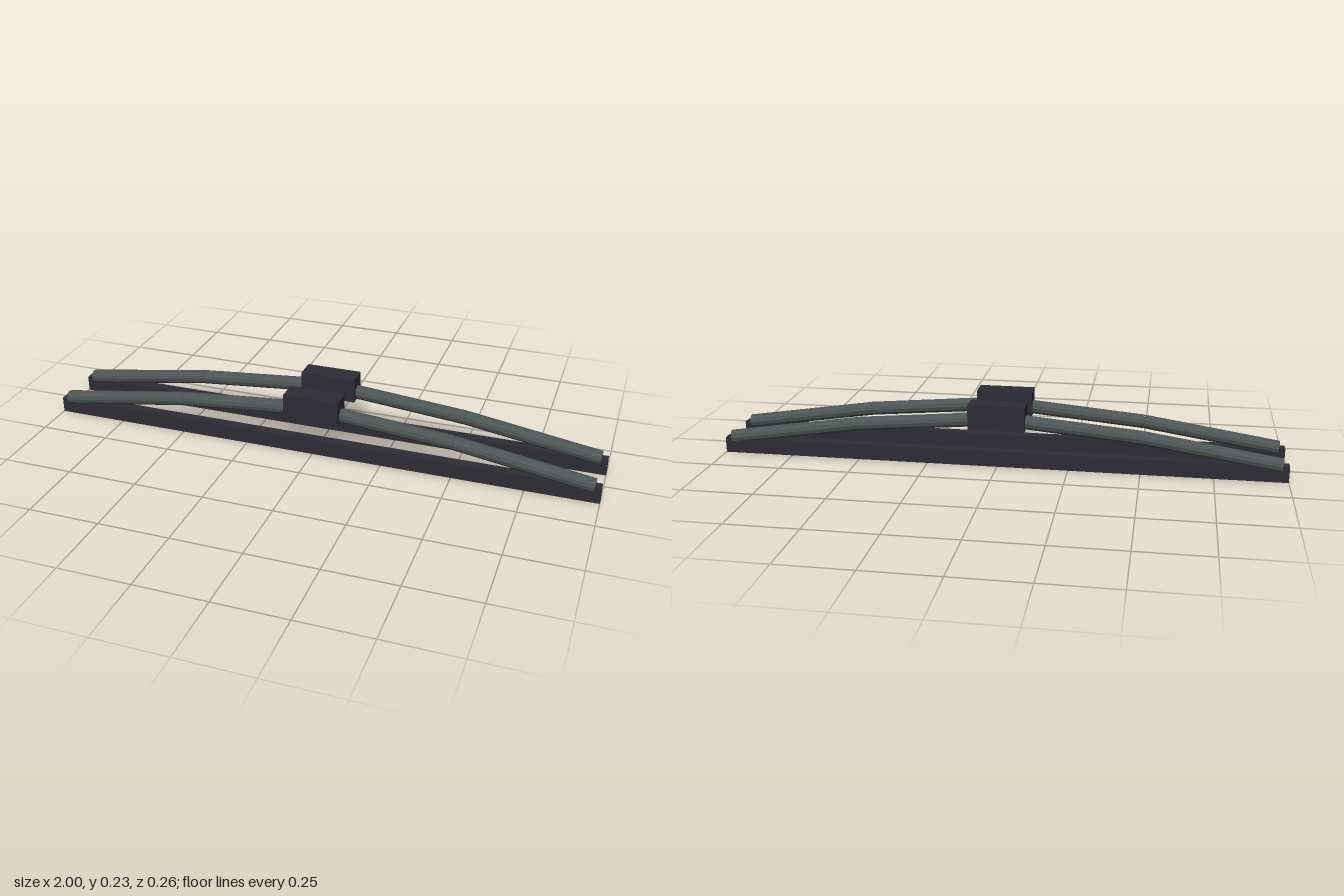
import * as THREE from 'three';

export function createModel() {
  const model = new THREE.Group();
  const rubber = new THREE.MeshStandardMaterial({ color: 0x2d2c35 });
  rubber.name = 'dark rubber';
  const metal = new THREE.MeshStandardMaterial({ color: 0x4b5553, flatShading: true });
  metal.name = 'grey green metal';

  const add = (parent, name, geometry, material, x, y) => {
    const mesh = new THREE.Mesh(geometry, material);
    mesh.name = name;
    mesh.position.set(x, y, 0);
    parent.add(mesh);
    return mesh;
  };

  // Straight round rod between two points of the arched arm
  const addRod = (parent, name, a, b) => {
    const dir = b.clone().sub(a);
    const mid = a.clone().add(b).multiplyScalar(0.5);
    const rod = add(parent, name, new THREE.CylinderGeometry(0.025, 0.025, dir.length(), 12), metal, mid.x, mid.y);
    rod.quaternion.setFromUnitVectors(new THREE.Vector3(0, 1, 0), dir.normalize());
  };

  for (const side of [1, -1]) {
    const wiper = new THREE.Group();
    wiper.name = side > 0 ? 'frontWiper' : 'backWiper';
    wiper.position.z = 0.0945 * side;

    // Straight blade and central clip
    add(wiper, 'blade', new THREE.BoxGeometry(2, 0.056, 0.038), rubber, 0, 0.028);
    add(wiper, 'clip', new THREE.BoxGeometry(0.2, 0.088, 0.075), rubber, 0, 0.182);

    // Arched arm, two rods to each side of the clip
    for (const s of [1, -1]) {
      const centre = new THREE.Vector3(0, 0.172, 0);
      const bend = new THREE.Vector3(0.5 * s, 0.128, 0);
      const tip = new THREE.Vector3(0.977 * s, 0.055, 0);
      const label = s > 0 ? 'left' : 'right';
      addRod(wiper, label + 'InnerRod', centre, bend);
      addRod(wiper, label + 'OuterRod', bend, tip);
    }
    model.add(wiper);
  }
  return model;
}
